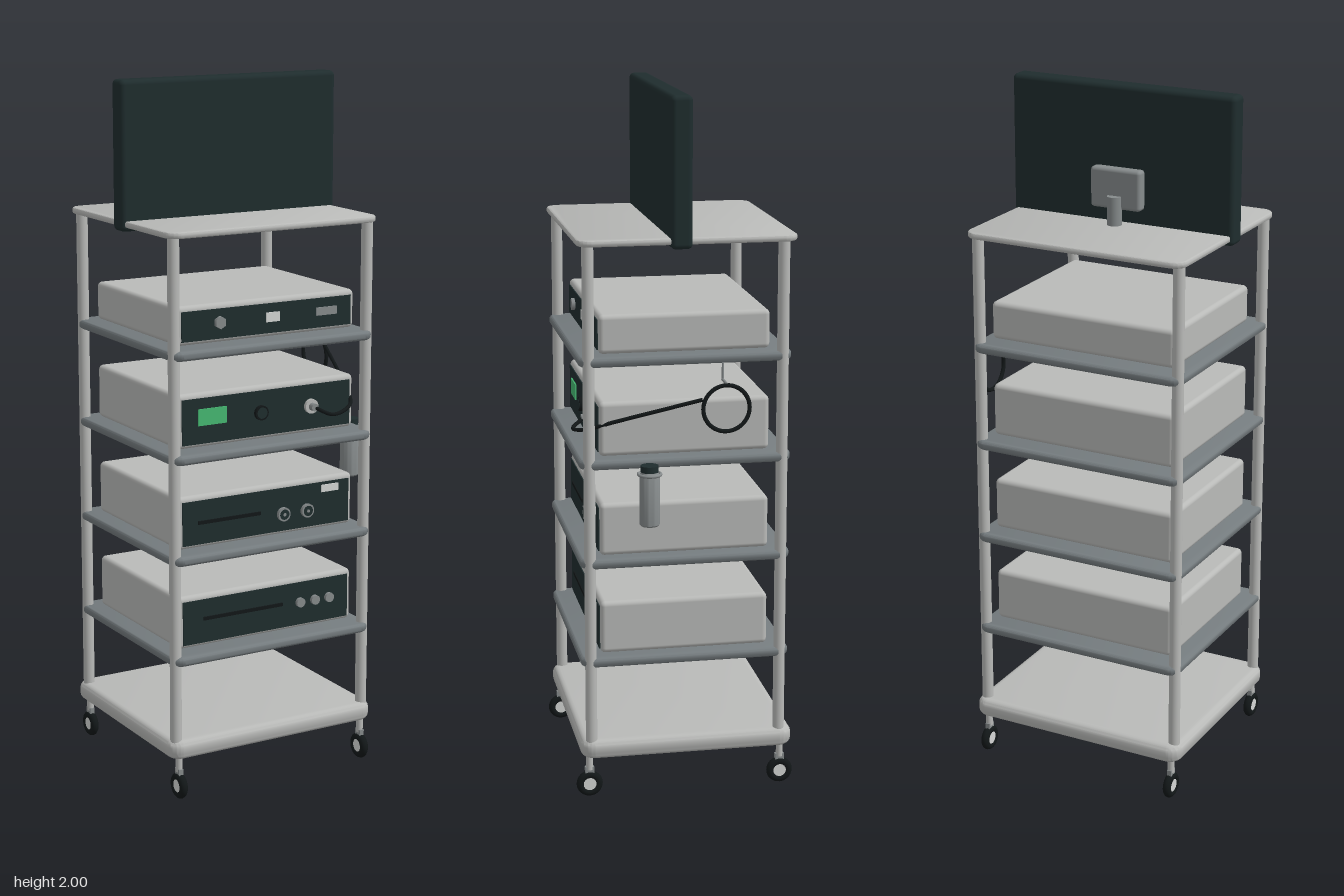
import * as THREE from 'three';
import { toCreasedNormals } from 'three/addons/utils/BufferGeometryUtils.js';
import { RoundedBoxGeometry } from 'three/addons/geometries/RoundedBoxGeometry.js';

const mat = (name, color) => {
  const m = new THREE.MeshStandardMaterial({ color });
  m.name = name;
  return m;
};

export function createModel() {
  const light = mat('light grey enamel', 0xb9bab8);
  const shelfGrey = mat('shelf grey', 0x757c7f);
  const midGrey = mat('mid grey plastic', 0x868b8c);
  const dark = mat('dark panel', 0x1f2d2e);
  const black = mat('black rubber', 0x121718);
  const white = mat('pale button', 0xd4d6d4);
  const green = mat('green display', 0x46b872);

  const model = new THREE.Group();
  model.name = 'equipmentCart';
  const CX = -0.029; // centre line of the cart

  const add = (parent, name, geo, material, x = 0, y = 0, z = 0) => {
    const m = new THREE.Mesh(geo, material);
    m.name = name;
    m.position.set(x, y, z);
    parent.add(m);
    return m;
  };
  const group = (name, x, y, z) => {
    const g = new THREE.Group();
    g.name = name;
    g.position.set(x, y, z);
    model.add(g);
    return g;
  };
  const cyl = (r, h, n = 24, r2 = r) => new THREE.CylinderGeometry(r, r2, h, n);
  const cylZ = (r, h, n = 24) => cyl(r, h, n).rotateX(Math.PI / 2);
  const cylX = (r, h, n = 24) => cyl(r, h, n).rotateZ(Math.PI / 2);
  const box = (w, h, d) => new THREE.BoxGeometry(w, h, d);

  // Horizontal slab with rounded corners and softened edges, standing on y = 0
  function slab(w, h, d, radius, bevel) {
    const x = w / 2 - bevel, y = d / 2 - bevel, r = radius - bevel;
    const s = new THREE.Shape();
    s.absarc(x - r, y - r, r, 0, Math.PI / 2);
    s.absarc(-x + r, y - r, r, Math.PI / 2, Math.PI);
    s.absarc(-x + r, -y + r, r, Math.PI, Math.PI * 1.5);
    s.absarc(x - r, -y + r, r, Math.PI * 1.5, Math.PI * 2);
    s.closePath();
    const g = new THREE.ExtrudeGeometry(s, {
      depth: h - 2 * bevel, bevelEnabled: true, bevelSize: bevel,
      bevelThickness: bevel, bevelSegments: 4, curveSegments: 8,
    });
    g.rotateX(-Math.PI / 2).translate(0, bevel, 0);
    return toCreasedNormals(g, 0.6);
  }

  // Frame: base, top, shelves and posts
  add(model, 'base', slab(0.672, 0.055, 0.615, 0.04, 0.02), light, CX, 0.12, -0.002);
  add(model, 'topShelf', slab(0.672, 0.018, 0.615, 0.04, 0.006), light, CX, 1.597, -0.002);
  for (const y of [0.394, 0.685, 0.972, 1.262]) {
    add(model, 'shelf', slab(0.652, 0.027, 0.6, 0.035, 0.01), shelfGrey, CX, y, 0.002);
  }
  for (const sx of [-1, 1]) {
    for (const sz of [-1, 1]) {
      add(model, 'post', cyl(0.0165, 1.44), light, CX + sx * 0.31, 0.88, 0.002 + sz * 0.273);

      // Caster: stem, fork, tyre and hub
      const c = group('caster', CX + sx * 0.304, 0.038, 0.002 + sz * 0.279);
      add(c, 'stem', cyl(0.01, 0.045), light, 0, 0.065, 0);
      add(c, 'fork', box(0.014, 0.03, 0.026), midGrey, 0, 0.036, 0);
      add(c, 'tyre', new THREE.TorusGeometry(0.026, 0.012, 12, 32).rotateY(Math.PI / 2), black);
      add(c, 'hub', cylX(0.02, 0.018), white);
    }
  }

  // Equipment units: case plus dark fascia
  function unit(name, bottom, top) {
    const h = top - bottom;
    const g = group(name, 0, 0, 0);
    add(g, 'case', new RoundedBoxGeometry(0.574, h, 0.482, 4, 0.014), light, -0.025, (bottom + top) / 2, 0.002);
    add(g, 'fascia', box(0.546, h - 0.026, 0.006), dark, -0.025, (bottom + top) / 2 - 0.002, 0.243);
    return g;
  }
  const plate = (g, name, m, x0, x1, y0, y1) =>
    add(g, name, box(x1 - x0, y1 - y0, 0.006), m, (x0 + x1) / 2, (y0 + y1) / 2, 0.247);
  const knob = (g, name, m, x, y, r, n = 24) => add(g, name, cylZ(r, 0.012, n), m, x, y, 0.25);

  const unit1 = unit('lowestUnit', 0.424, 0.577);
  plate(unit1, 'slot', black, -0.233, 0.026, 0.501, 0.511);
  for (const x of [0.085, 0.135, 0.183]) knob(unit1, 'button', midGrey, x, 0.503, 0.014);

  const unit2 = unit('lowerUnit', 0.714, 0.866);
  plate(unit2, 'slot', black, -0.25, -0.048, 0.783, 0.793);
  plate(unit2, 'paleButton', white, 0.154, 0.212, 0.822, 0.843);
  for (const x of [0.027, 0.106]) {
    knob(unit2, 'socketRim', midGrey, x, 0.775, 0.02);
    add(unit2, 'socketFace', cylZ(0.015, 0.014), dark, x, 0.775, 0.25);
    add(unit2, 'socketCore', cylZ(0.005, 0.016, 12), midGrey, x, 0.775, 0.25);
  }

  const unit3 = unit('upperUnit', 1.002, 1.157);
  plate(unit3, 'display', green, -0.249, -0.159, 1.065, 1.112);
  knob(unit3, 'darkKnob', black, -0.048, 1.08, 0.021);
  add(unit3, 'darkKnobFace', cylZ(0.016, 0.014), dark, -0.048, 1.08, 0.25);
  knob(unit3, 'cableSocket', light, 0.116, 1.08, 0.021);
  add(unit3, 'cablePlug', cylZ(0.011, 0.03), midGrey, 0.116, 1.08, 0.258);

  const unit4 = unit('topUnit', 1.292, 1.402);
  knob(unit4, 'hexKnob', midGrey, -0.18, 1.349, 0.018, 6);
  plate(unit4, 'paleButton', white, -0.032, 0.011, 1.335, 1.362);
  plate(unit4, 'port', midGrey, 0.132, 0.2, 1.338, 1.361);

  // Cable with hanging loop and its hook
  const path = new THREE.CatmullRomCurve3([
    [0.116, 1.08, 0.265], [0.155, 1.062, 0.302], [0.23, 1.075, 0.275],
    [0.27, 1.103, 0.2], [0.31, 1.14, 0.08], [0.346, 1.174, -0.032],
  ].map((p) => new THREE.Vector3(...p)));
  add(model, 'cable', new THREE.TubeGeometry(path, 48, 0.0055, 8), black);
  add(model, 'cableLoop', new THREE.TorusGeometry(0.065, 0.006, 10, 48).rotateY(Math.PI / 2),
    black, 0.347, 1.147, -0.098);
  add(model, 'hookArm', cylX(0.004, 0.056, 10), midGrey, 0.32, 1.216, -0.098);
  add(model, 'hookStem', cyl(0.003, 0.05, 10), midGrey, 0.294, 1.238, -0.098);

  // Bottle in its ring
  const bottle = group('bottle', 0.336, 0, 0.115);
  const body = [[0, 0.82], [0.025, 0.82], [0.028, 0.824], [0.028, 0.965], [0.022, 0.975], [0, 0.975]]
    .map((p) => new THREE.Vector2(...p));
  add(bottle, 'bottleBody', toCreasedNormals(new THREE.LatheGeometry(body, 28), 0.6), midGrey);
  add(bottle, 'bottleCap', cyl(0.025, 0.018), dark, 0, 0.983, 0);
  add(bottle, 'holderRing', new THREE.TorusGeometry(0.031, 0.0045, 10, 36).rotateX(Math.PI / 2),
    midGrey, 0, 0.967, 0);
  add(bottle, 'holderArm', cylX(0.004, 0.03, 10), midGrey, -0.044, 0.967, 0);

  // Monitor on its stand
  add(model, 'monitor', new RoundedBoxGeometry(0.69, 0.415, 0.06, 4, 0.014), dark, CX, 1.7925, 0.02);
  add(model, 'monitorMount', new RoundedBoxGeometry(0.155, 0.115, 0.037, 3, 0.01), midGrey, -0.028, 1.715, -0.028);
  add(model, 'monitorNeck', cyl(0.021, 0.085), midGrey, -0.028, 1.654, -0.048);

  return model;
}
